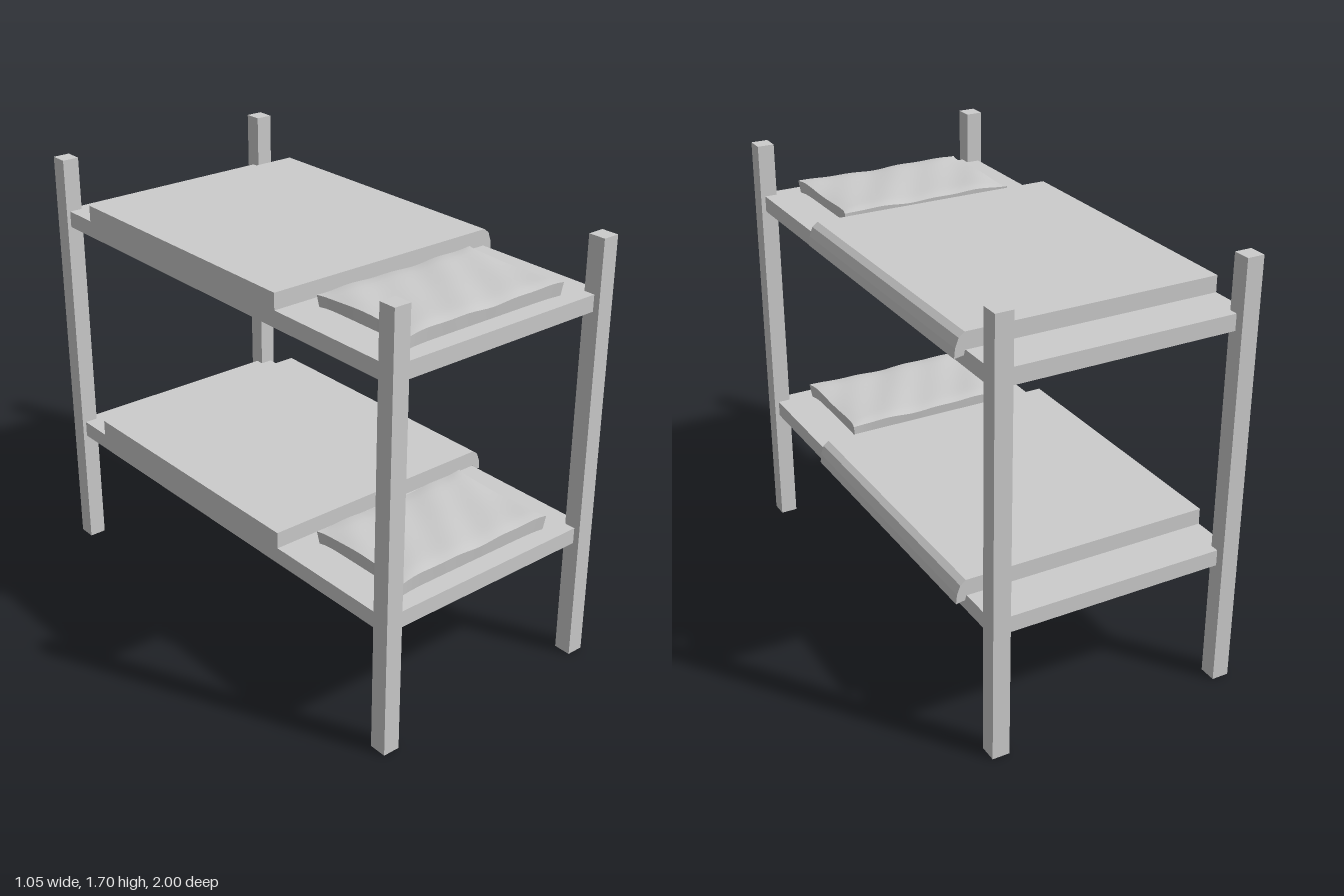
import * as THREE from 'three';

const material = new THREE.MeshStandardMaterial({ color: 0xcccccc, flatShading: true });
const smooth = new THREE.MeshStandardMaterial({ color: 0xcccccc });

function add(parent, name, geometry, mat = material) {
  const mesh = new THREE.Mesh(geometry, mat);
  mesh.name = name;
  parent.add(mesh);
  return mesh;
}

// Box given by its lower and upper corners
function boxBetween(x0, x1, y0, y1, z0, z1) {
  return new THREE.BoxGeometry(x1 - x0, y1 - y0, z1 - z0)
    .translate((x0 + x1) / 2, (y0 + y1) / 2, (z0 + z1) / 2);
}

// Flat slab whose edge folds down over the left side of the bed; y = 0 is the board top
function blanketGeometry() {
  const profile = new THREE.Shape([
    [-0.51, 0], [0.482, 0], [0.486, -0.018], [0.522, -0.024],
    [0.518, 0.012], [0.505, 0.047], [0.483, 0.064], [-0.51, 0.064],
  ].map(([x, y]) => new THREE.Vector2(x, y)));
  return new THREE.ExtrudeGeometry(profile, { depth: 1.165, bevelEnabled: false })
    .translate(0, 0, -0.78);
}

// Soft slab: rumpled top, edges pulled in between the corner ears
function pillowGeometry() {
  const w = 0.72, h = 0.062, d = 0.46;
  const g = new THREE.BoxGeometry(w, h, d, 24, 4, 16);
  const p = g.attributes.position;
  for (let i = 0; i < p.count; i++) {
    const u = p.getX(i) / (w / 2), v = p.getZ(i) / (d / 2);
    const t = p.getY(i) / h + 0.5;
    const pinchX = 0.012 * (1 - v ** 8) + 0.008 * (1 - t);
    const pinchZ = 0.008 * (1 - u ** 8) + 0.006 * (1 - t);
    const edge = Math.max(Math.abs(u), Math.abs(v)) ** 8;
    const top = h - 0.007 * edge
      + 0.003 * Math.sin(u * 5 + 1) * Math.cos(v * 3)
      + 0.002 * Math.sin(u * 11 + v * 4);
    p.setXYZ(i, u * (w / 2 - pinchX), t * top, v * (d / 2 - pinchZ));
  }
  g.computeVertexNormals();
  return g.translate(-0.02, 0, 0.682);
}

export function createModel() {
  const model = new THREE.Group();
  model.name = 'bunkBed';

  // Four corner posts
  for (const x of [-0.525, 0.43])
    for (const z of [-1, 0.93])
      add(model, 'post', boxBetween(x, x + 0.068, 0, 1.7, z, z + 0.07));

  // Two identical bunks
  const board = boxBetween(-0.51, 0.48, -0.064, 0, -0.965, 0.975);
  const blanket = blanketGeometry();
  const pillow = pillowGeometry();
  [['lowerBunk', 0.553, 0.002], ['upperBunk', 1.489, -0.007]].forEach(([name, y, lift]) => {
    const bunk = new THREE.Group();
    bunk.name = name;
    bunk.position.y = y;
    add(bunk, 'bedBoard', board);
    add(bunk, 'blanket', blanket);
    add(bunk, 'pillow', pillow, smooth).position.y = lift;
    model.add(bunk);
  });

  return model;
}
